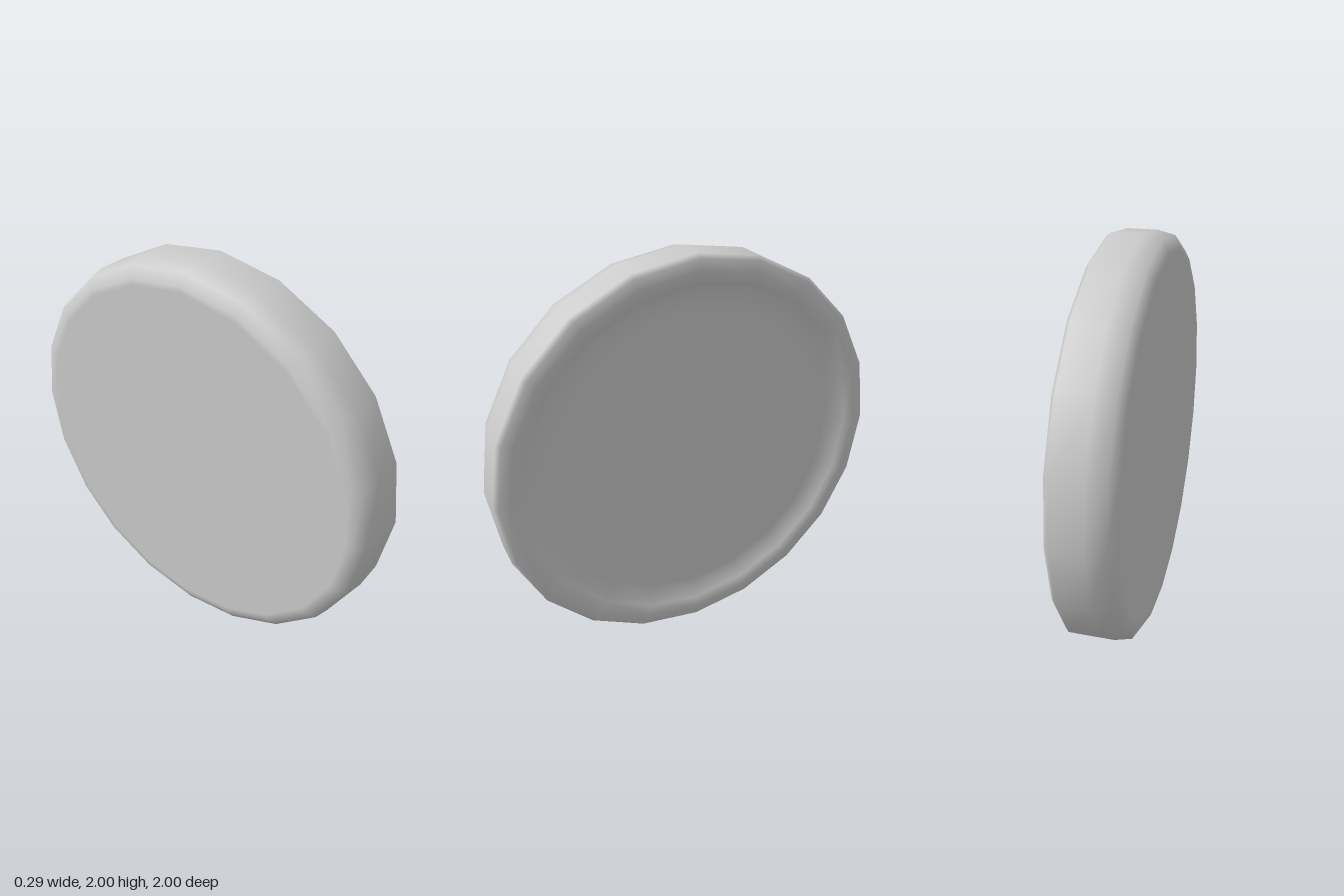
import * as THREE from 'three';

// Upright 20-sided disc: plain back on -x, raised rim around a shallow recess on +x
export function createModel() {
  const group = new THREE.Group();
  group.name = 'roundDisc';

  // Cross-section as [radius, position along the axle], from back centre to front centre
  const profile = [
    [0, -0.145], [0.9, -0.145], [0.93, -0.145], [0.98, -0.115], [1, -0.03], // back face and bevel
    [1, 0.12], [0.98, 0.14], [0.93, 0.143],                                // tread and rim
    [0.87, 0.139], [0.852, 0.107], [0.76, 0.105], [0, 0.105],              // low step and recess floor
  ].map(([r, h]) => new THREE.Vector2(r, h));

  const geometry = new THREE.LatheGeometry(profile, 20);
  geometry.rotateZ(-Math.PI / 2); // lay the axle along x
  geometry.translate(0, 1, 0);

  const disc = new THREE.Mesh(geometry, new THREE.MeshStandardMaterial({ color: 0xcccccc }));
  disc.name = 'rimmedDisc';
  group.add(disc);
  return group;
}
